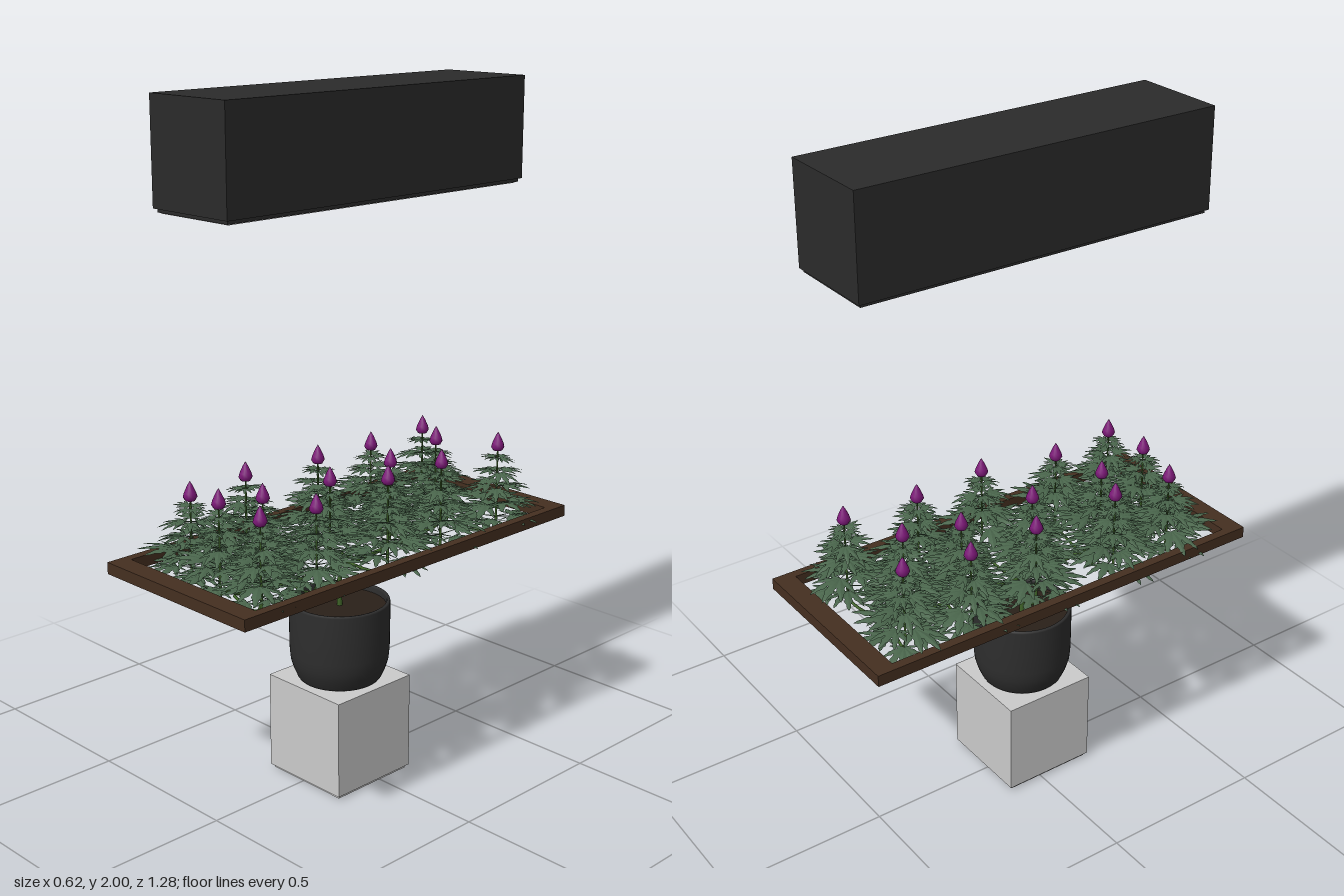
import * as THREE from 'three';
import { mergeGeometries } from 'three/addons/utils/BufferGeometryUtils.js';

const CX = 0.0125, POT_Z = 0.03;
const mat = (color, extra = {}) => new THREE.MeshStandardMaterial({ color, ...extra });

function add(parent, name, geometry, material, x = 0, y = 0, z = 0) {
  const mesh = new THREE.Mesh(geometry, material);
  mesh.name = name;
  mesh.position.set(x, y, z);
  parent.add(mesh);
  return mesh;
}

// Palmate leaf of unit length: seven serrated leaflets fanned about +x, arching downwards
function leafGeometry() {
  const pos = [], segs = 8;
  const fan = [[0, 1], [0.5, 0.93], [-0.5, 0.93], [1.02, 0.74], [-1.02, 0.74], [1.75, 0.45], [-1.75, 0.45]];
  for (const [angle, len] of fan) {
    const point = (t, side, i) => {
      const tooth = i % 2 ? 1.15 : 0.82;
      const w = side * 0.125 * len * Math.pow(Math.sin(Math.PI * Math.pow(t, 0.85)), 0.8) * tooth;
      const along = t * len;
      return [
        along * Math.cos(angle) - w * Math.sin(angle),
        0.12 * along - 0.36 * along * along - Math.abs(w) * 0.25,
        along * Math.sin(angle) + w * Math.cos(angle),
      ];
    };
    for (let i = 0; i < segs; i++) {
      const t0 = i / segs, t1 = Math.min((i + 1) / segs, 0.9999);
      const m0 = point(t0, 0, i), m1 = point(t1, 0, i + 1);
      const l0 = point(t0, 1, i), l1 = point(t1, 1, i + 1);
      const r0 = point(t0, -1, i), r1 = point(t1, -1, i + 1);
      pos.push(...m0, ...l0, ...l1, ...m0, ...l1, ...m1);
      pos.push(...m0, ...m1, ...r1, ...m0, ...r1, ...r0);
    }
  }
  const g = new THREE.BufferGeometry();
  g.setAttribute('position', new THREE.Float32BufferAttribute(pos, 3));
  g.computeVertexNormals();
  return g;
}

// Whorls of leaves on one shoot; heights are measured from y = 0.66
function foliageGeometry() {
  const leaf = leafGeometry(), parts = [];
  // height, leaf count, leaf length, petiole length, upward tilt
  const tiers = [
    [0.05, 5, 0.095, 0.050, 0.12],
    [0.09, 5, 0.100, 0.040, 0.18],
    [0.14, 5, 0.080, 0.024, 0.12],
    [0.185, 4, 0.068, 0.018, 0.12],
    [0.225, 4, 0.046, 0.010, 0.20],
  ];
  tiers.forEach(([y, count, len, petiole, tilt], k) => {
    for (let i = 0; i < count; i++) {
      const turn = (i / count) * Math.PI * 2 + k * 0.75;
      const rise = tilt + 0.14 * Math.sin(i * 2.4 + k);
      const size = len * (1 + 0.1 * Math.sin(i * 3.1 + k * 1.7));
      const blade = leaf.clone().scale(size, size, size).translate(petiole, 0, 0);
      const stalk = new THREE.CylinderGeometry(0.001, 0.0018, petiole, 4, 1, true).toNonIndexed()
        .rotateZ(-Math.PI / 2).translate(petiole / 2, 0, 0);
      stalk.deleteAttribute('uv');
      parts.push(...[blade, stalk].map((g) => g.rotateZ(rise).rotateY(turn).translate(0, y, 0)));
    }
  });
  return mergeGeometries(parts);
}

export function createModel() {
  const model = new THREE.Group();
  model.name = 'plantGrowingStand';
  const black = mat(0x2b2b2b), grey = mat(0xcccccc), wood = mat(0x452f20);
  const green = mat(0x3f6428), purple = mat(0x7c1878);
  const leafMat = mat(0x4a664c, { side: THREE.DoubleSide });

  // Overhead lamp with a pale panel underneath
  const lamp = new THREE.Group();
  lamp.name = 'lamp';
  model.add(lamp);
  add(lamp, 'lampHousing', new THREE.BoxGeometry(0.29, 0.29, 1.11), black, CX, 1.855, -0.005);
  add(lamp, 'lampTrim', new THREE.BoxGeometry(0.274, 0.014, 1.094), black, CX, 1.707, -0.005);
  add(lamp, 'lampPanel', new THREE.BoxGeometry(0.262, 0.004, 1.08), grey, CX, 1.699, -0.005);

  // Pedestal
  add(model, 'pedestal', new THREE.BoxGeometry(0.29, 0.29, 0.29), grey, CX, 0.155, POT_Z);
  add(model, 'pedestalFoot', new THREE.BoxGeometry(0.274, 0.01, 0.274), grey, CX, 0.005, POT_Z);

  // Pot with a thin rim, and soil
  const profile = [[0, 0.301], [0.118, 0.301], [0.124, 0.308], [0.136, 0.336], [0.143, 0.36], [0.146, 0.39],
    [0.147, 0.45], [0.147, 0.535], [0.145, 0.54], [0.138, 0.54], [0.136, 0.535], [0.136, 0.51]]
    .map(([r, y]) => new THREE.Vector2(r, y));
  add(model, 'pot', new THREE.LatheGeometry(profile, 40), mat(0x2e2e2e, { side: THREE.DoubleSide }), CX, 0, POT_Z);
  add(model, 'soil', new THREE.CylinderGeometry(0.137, 0.137, 0.01, 40), mat(0x2a2019), CX, 0.515, POT_Z);

  // Wooden training frame
  const frame = new THREE.Group();
  frame.name = 'frame';
  model.add(frame);
  for (const s of [-1, 1]) {
    add(frame, 'sideRail', new THREE.BoxGeometry(0.028, 0.034, 1.16), wood, CX + s * 0.271, 0.718, 0);
    add(frame, 'endRail', new THREE.BoxGeometry(0.57, 0.034, 0.06), wood, CX, 0.718, s * 0.608);
  }

  // Trunk and branches
  const branches = new THREE.Group();
  branches.name = 'branches';
  model.add(branches);
  const tube = (name, points, radius) => {
    const curve = new THREE.CatmullRomCurve3(points.map((p) => new THREE.Vector3(...p)));
    add(branches, name, new THREE.TubeGeometry(curve, 20, radius, 6), green);
  };
  add(branches, 'trunk', new THREE.CylinderGeometry(0.006, 0.008, 0.13, 8), green, CX, 0.58, POT_Z);
  tube('mainBranch', [[CX, 0.685, 0.46], [CX, 0.668, 0.43], [CX, 0.645, 0.26], [CX, 0.641, 0.03],
    [CX, 0.648, -0.19], [CX, 0.668, -0.4], [CX, 0.69, -0.46]], 0.006);

  // Shoots in three columns: x, z, tip height
  const shoots = [
    [-0.13, -0.465, 0.965], [-0.15, -0.26, 0.95], [-0.15, -0.04, 0.955], [-0.15, 0.24, 0.965], [-0.145, 0.445, 0.955],
    [0.005, -0.38, 0.975], [0, -0.19, 0.945], [0.005, 0.06, 0.945], [-0.005, 0.305, 0.95], [0.005, 0.47, 0.975],
    [0.175, -0.465, 0.975], [0.165, -0.23, 0.97], [0.175, 0, 0.975], [0.16, 0.26, 0.95], [0.165, 0.465, 0.965],
  ];
  const foliage = foliageGeometry();
  const bud = new THREE.LatheGeometry([[0, 0], [0.014, 0.004], [0.02, 0.014], [0.017, 0.026], [0.008, 0.046], [0, 0.06]]
    .map(([r, y]) => new THREE.Vector2(r, y)), 10);
  shoots.forEach(([x, z, top], i) => {
    // Each outer shoot is fed by a side branch from the main branch
    const base = 0.645 + 0.03 * Math.abs(z);
    if (Math.abs(x) > 0.05) {
      tube('sideBranch', [[CX, base, z * 0.92], [x * 0.5, base - 0.002, z * 0.97],
        [x * 0.92, base + 0.008, z], [x, base + 0.035, z], [x, 0.72, z]], 0.0042);
    }
    const shoot = new THREE.Group();
    shoot.name = 'shoot';
    shoot.position.set(x, 0.66, z);
    model.add(shoot);
    const height = top - 0.66 - 0.06;
    add(shoot, 'stem', new THREE.CylinderGeometry(0.0025, 0.004, height, 6), green, 0, height / 2, 0);
    const leaves = add(shoot, 'leaves', foliage, leafMat);
    leaves.rotation.y = i * 2.4;
    leaves.scale.y = height / 0.245;
    add(shoot, 'bud', bud, purple, 0, height, 0);
  });
  return model;
}
